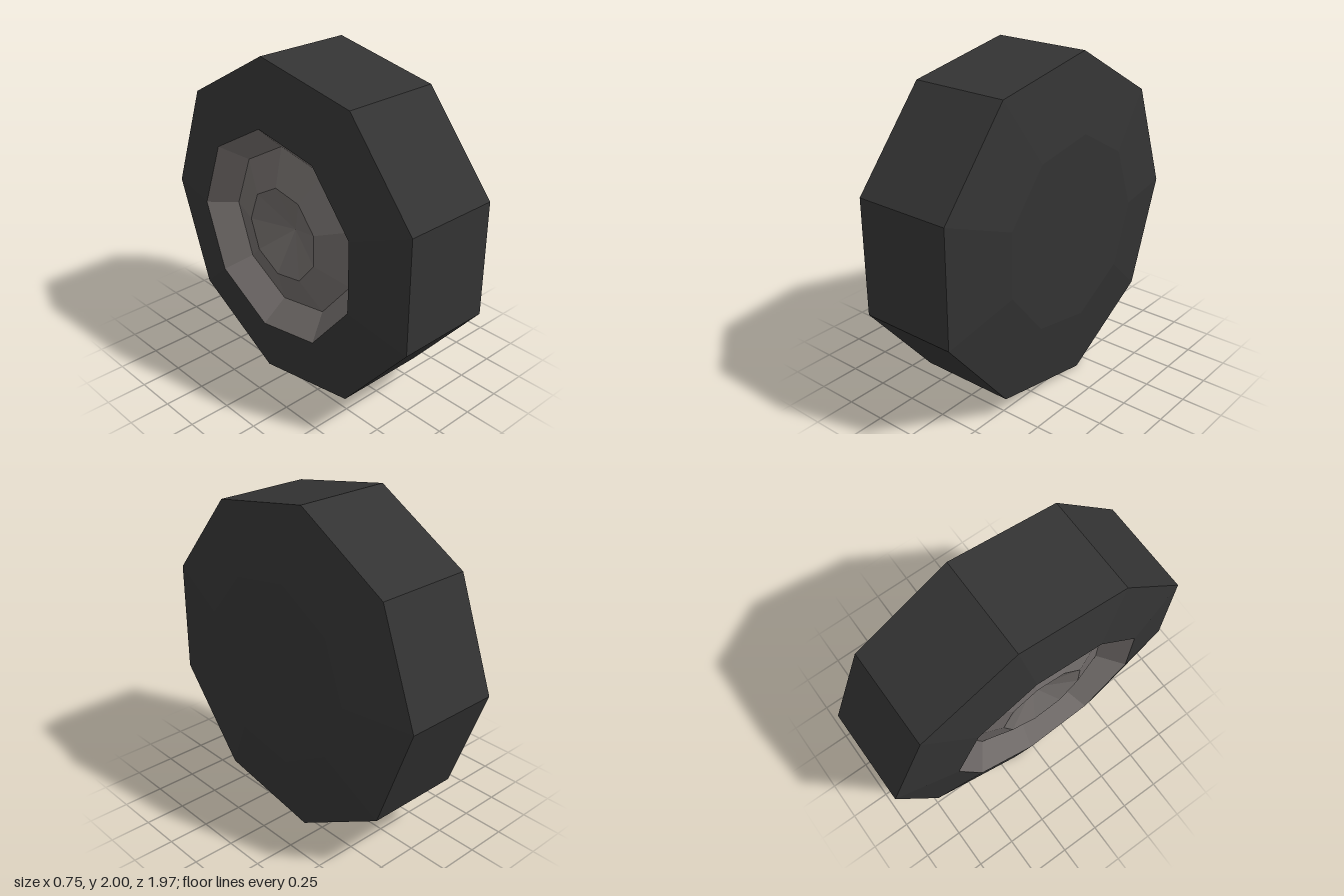
import * as THREE from 'three';

const SIDES = 9;

// Revolve [x, radius] pairs about the x axis, with one corner pointing to -z
function revolve(name, profile, material) {
  const points = profile.map(([x, r]) => new THREE.Vector2(r, x));
  const geometry = new THREE.LatheGeometry(points, SIDES, Math.PI)
    .rotateZ(-Math.PI / 2)
    .toNonIndexed();
  geometry.computeVertexNormals(); // flat facets
  const mesh = new THREE.Mesh(geometry, material);
  mesh.name = name;
  return mesh;
}

export function createModel() {
  const rubber = new THREE.MeshStandardMaterial({ color: 0x333333 });
  rubber.name = 'dark rubber';
  const metal = new THREE.MeshStandardMaterial({ color: 0x6e6967 });
  metal.name = 'grey metal';

  const wheel = new THREE.Group();
  wheel.name = 'wheel';

  // Tyre: bevelled shoulders, tread and a closed flat side
  const radius = 1 / Math.sin((80 * Math.PI) / 180);
  wheel.add(revolve('tyre', [
    [-0.38, 0.635], [-0.3, radius], [0.3, radius], [0.375, 0.57], [0.375, 0],
  ], rubber));

  // Rim: slope running in from the tyre opening
  wheel.add(revolve('rim', [[-0.24, 0.5], [-0.38, 0.635]], metal));

  // Hub: raised ring with a sunken middle
  wheel.add(revolve('hub', [[-0.22, 0], [-0.32, 0.28], [-0.24, 0.5]], metal));

  wheel.position.set(0, 1, 0.03);
  const model = new THREE.Group();
  model.name = 'wheelModel';
  model.add(wheel);
  return model;
}
